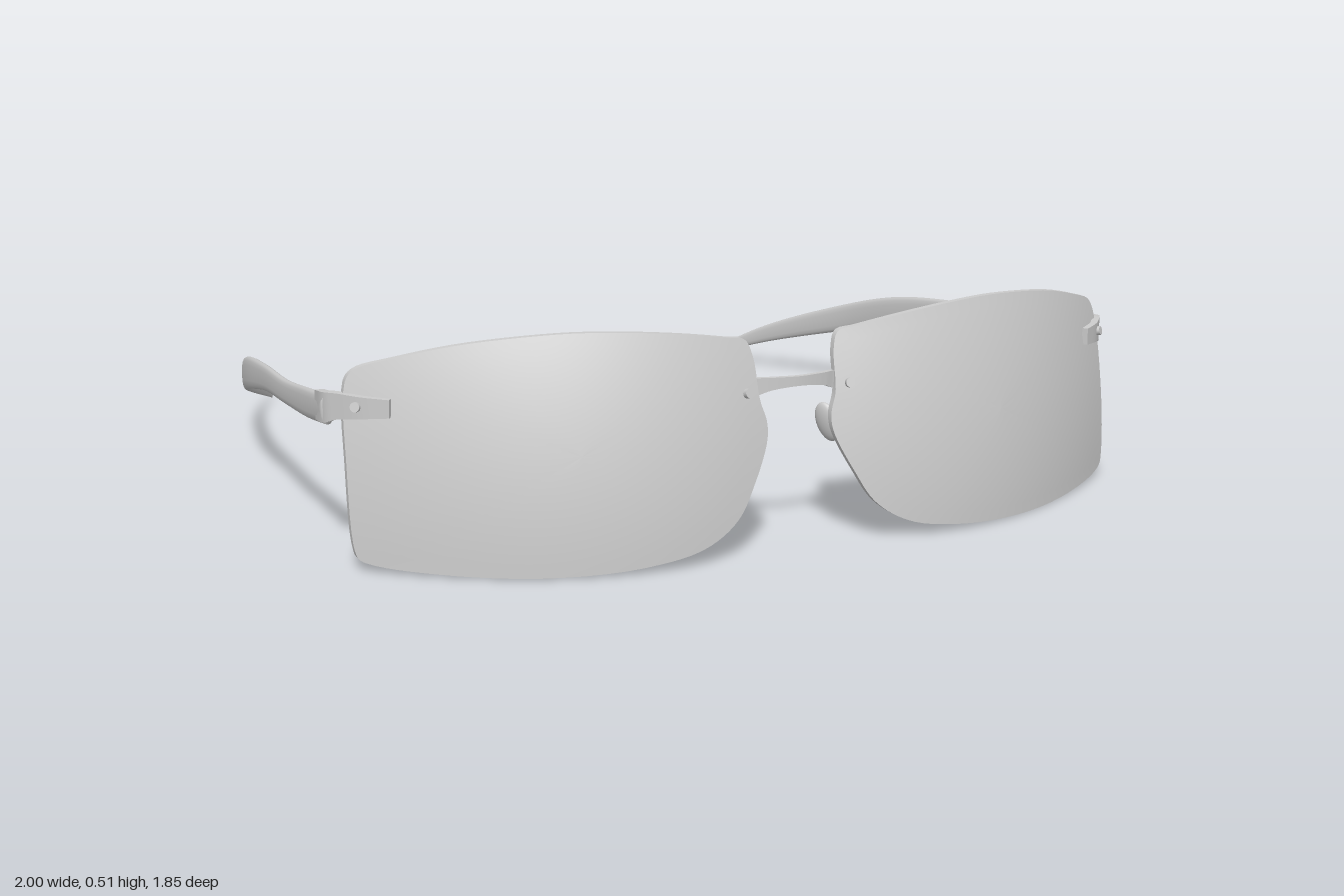
import * as THREE from 'three';
import { toCreasedNormals } from 'three/addons/utils/BufferGeometryUtils.js';

const material = new THREE.MeshStandardMaterial({ color: 0xcccccc });

function makeGeometry(positions, index) {
  const geo = new THREE.BufferGeometry();
  geo.setAttribute('position', new THREE.Float32BufferAttribute(positions, 3));
  geo.setIndex(index);
  geo.computeVertexNormals();
  return geo;
}

// Mirror an indexed geometry across x = 0, keeping its faces outward
function mirrored(geo) {
  const m = geo.clone().scale(-1, 1, 1);
  const ix = m.index.array;
  for (let i = 0; i < ix.length; i += 3) [ix[i], ix[i + 1]] = [ix[i + 1], ix[i]];
  m.computeVertexNormals();
  return m;
}

// Sweep a section along keys [x, y, z, halfThickness, halfHeight]; 4 sides gives a box section
function loft(keys, steps, sides) {
  const path = new THREE.CatmullRomCurve3(keys.map(k => new THREE.Vector3(k[0], k[1], k[2])), false, 'catmullrom');
  const size = new THREE.CatmullRomCurve3(keys.map(k => new THREE.Vector3(k[3], k[4], 0)), false, 'catmullrom');
  const up = new THREE.Vector3(0, 1, 0);
  const pos = [], index = [];
  const phase = sides === 4 ? Math.PI / 4 : 0, grow = sides === 4 ? Math.SQRT2 : 1;
  const soft = v => Math.sign(v) * Math.pow(Math.abs(v), sides === 4 ? 1 : 0.75);
  for (let i = 0; i <= steps; i++) {
    const c = path.getPoint(i / steps), s = size.getPoint(i / steps);
    const n = up.clone().cross(path.getTangent(i / steps)).normalize();
    for (let j = 0; j < sides; j++) {
      const a = phase + j / sides * Math.PI * 2;
      const w = soft(Math.cos(a)) * s.x * grow, h = soft(Math.sin(a)) * s.y * grow;
      pos.push(c.x + n.x * w, c.y + h, c.z + n.z * w);
      if (i < steps) {
        const p = i * sides + j, q = i * sides + (j + 1) % sides;
        index.push(p, q, p + sides, q, q + sides, p + sides);
      }
    }
  }
  const last = steps * sides;
  for (let j = 1; j < sides - 1; j++) {
    index.push(0, j + 1, j, last, last + j, last + j + 1);
  }
  return makeGeometry(pos, index);
}

// Curved lens surface: wraps round the face and leans back towards the top
const lensZ = (x, y) => 0.925 - 0.63 * (x - 0.3) ** 2 - 0.36 * y * y;
const LENS_THICKNESS = 0.016;

const lensOutline = [
  [0.115, 0.478], [0.16, 0.488], [0.275, 0.507], [0.41, 0.52], [0.543, 0.522], [0.73, 0.502], [0.865, 0.468],
  [0.934, 0.443], [0.955, 0.415], [0.966, 0.23], [0.961, 0.06], [0.952, 0.035], [0.925, 0.025], [0.81, 0.015],
  [0.6, 0.011], [0.383, 0.024], [0.25, 0.05], [0.17, 0.1], [0.125, 0.17], [0.083, 0.26],
  [0.08, 0.3], [0.094, 0.35], [0.1, 0.44]
];

function lensGeometry() {
  const pts = lensOutline.map(p => new THREE.Vector3(p[0], p[1], 0)).reverse();
  const curve = new THREE.CatmullRomCurve3(pts, true, 'centripetal');
  const N = 120, R = 10, cx = 0.52, cy = 0.27;
  const outline = curve.getPoints(N).slice(0, N);
  const pos = [], index = [];
  // Front and back skins as rings growing from the middle to the outline
  for (const side of [0, 1]) {
    const base = pos.length / 3;
    for (let r = 0; r <= R; r++) {
      outline.forEach((p, j) => {
        const x = cx + (p.x - cx) * r / R, y = cy + (p.y - cy) * r / R;
        pos.push(x, y, lensZ(x, y) - side * LENS_THICKNESS);
        if (r === R) return;
        const a = base + r * N + j, b = base + r * N + (j + 1) % N;
        if (side === 0) index.push(a, a + N, b + N, a, b + N, b);
        else index.push(a, b + N, a + N, a, b, b + N);
      });
    }
  }
  // Rim joining both skins
  const base = pos.length / 3;
  outline.forEach((p, j) => {
    const z = lensZ(p.x, p.y);
    pos.push(p.x, p.y, z, p.x, p.y, z - LENS_THICKNESS);
    const a = base + 2 * j, b = base + 2 * ((j + 1) % N);
    index.push(a, a + 1, b, b, a + 1, b + 1);
  });
  return makeGeometry(pos, index);
}

// Short rivet through the lens, facing along the lens normal
function screwGeometry(x, y, lift) {
  const geo = new THREE.CylinderGeometry(0.011, 0.011, 0.045, 16);
  const normal = new THREE.Vector3(1.26 * (x - 0.3), 0.72 * y, 1).normalize();
  geo.applyQuaternion(new THREE.Quaternion().setFromUnitVectors(new THREE.Vector3(0, 1, 0), normal));
  return geo.translate(x + normal.x * lift, y + normal.y * lift, lensZ(x, y) + normal.z * lift);
}

// Temple heights [z, centre y, half thickness, half height]
const templeProfile = [
  [0.56, 0.35, 0.013, 0.034], [0.4, 0.328, 0.011, 0.034], [0.2, 0.307, 0.01, 0.029], [0, 0.294, 0.01, 0.032],
  [-0.22, 0.258, 0.011, 0.041], [-0.44, 0.199, 0.011, 0.038], [-0.695, 0.112, 0.009, 0.025], [-0.9, 0.014, 0.003, 0.005]
];

// The two temples are opened by slightly different amounts
const templeX = {
  left: [0.984, 0.976, 0.951, 0.916, 0.868, 0.81, 0.7, 0.58],
  right: [0.986, 0.985, 0.983, 0.979, 0.966, 0.925, 0.85, 0.742]
};

export function createModel() {
  const group = new THREE.Group();
  const add = (name, geo) => {
    const mesh = new THREE.Mesh(geo, material);
    mesh.name = name;
    group.add(mesh);
  };

  const lens = lensGeometry();

  // Endpiece: clasps the outer lens corner and turns back to the temple
  const endpiece = loft([
    [0.88, 0.367, lensZ(0.88, 0.367) + 0.008, 0.007, 0.02],
    [0.93, 0.366, lensZ(0.93, 0.366) + 0.009, 0.008, 0.024],
    [0.968, 0.363, 0.588, 0.01, 0.029],
    [0.986, 0.355, 0.555, 0.011, 0.034],
    [0.987, 0.348, 0.5, 0.01, 0.033]
  ], 16, 4);

  // Inner tab of the endpiece behind the lens
  const hingeTab = loft([
    [0.92, 0.365, lensZ(0.92, 0.365) - 0.026, 0.006, 0.018],
    [0.955, 0.362, 0.565, 0.007, 0.02],
    [0.975, 0.355, 0.525, 0.008, 0.024]
  ], 8, 4);

  // Nose pad and the thin wire that holds it
  const nosePad = new THREE.SphereGeometry(1, 20, 14).scale(0.014, 0.047, 0.031)
    .rotateX(-0.15).rotateY(0.45).rotateZ(0.2).translate(0.1, 0.268, 0.808);
  const padWire = new THREE.TubeGeometry(new THREE.CatmullRomCurve3([
    new THREE.Vector3(0.13, 0.368, 0.832), new THREE.Vector3(0.128, 0.345, 0.808),
    new THREE.Vector3(0.122, 0.305, 0.798), new THREE.Vector3(0.108, 0.272, 0.808)
  ]), 16, 0.005, 8);

  const parts = {
    Lens: lens,
    Endpiece: endpiece,
    HingeTab: hingeTab,
    OuterScrew: screwGeometry(0.935, 0.365, 0),
    BridgeScrew: screwGeometry(0.127, 0.367, -0.012),
    NosePad: nosePad,
    NosePadWire: padWire
  };
  for (const side of ['left', 'right']) {
    const place = geo => (side === 'left' ? geo : mirrored(geo));
    for (const [name, geo] of Object.entries(parts)) {
      const flat = name === 'Endpiece' || name === 'HingeTab';
      add(side + name, flat ? toCreasedNormals(place(geo), 0.6) : place(geo));
    }
    // Temple; the more open right one reaches slightly further back
    const keys = templeProfile.map(([z, y, w, h], i) => {
      const reach = i === 7 ? (side === 'left' ? 0.01 : -0.025) : 0;
      return [templeX[side][i], y, z + reach, w, h];
    });
    add(side + 'Temple', place(loft(keys, 56, 16)));
  }

  // Bridge: slim arched bar, its ends fixed behind both lenses
  const half = [[0.145, 0.367, 0.831, 0.006, 0.013], [0.1, 0.373, 0.834, 0.006, 0.02], [0.06, 0.381, 0.848, 0.006, 0.014]];
  const bridgeKeys = [
    ...half.map(([x, ...rest]) => [-x, ...rest]),
    [0, 0.384, 0.857, 0.006, 0.011],
    ...half.slice().reverse()
  ];
  add('bridge', toCreasedNormals(loft(bridgeKeys, 36, 4), 0.6));

  return group;
}
